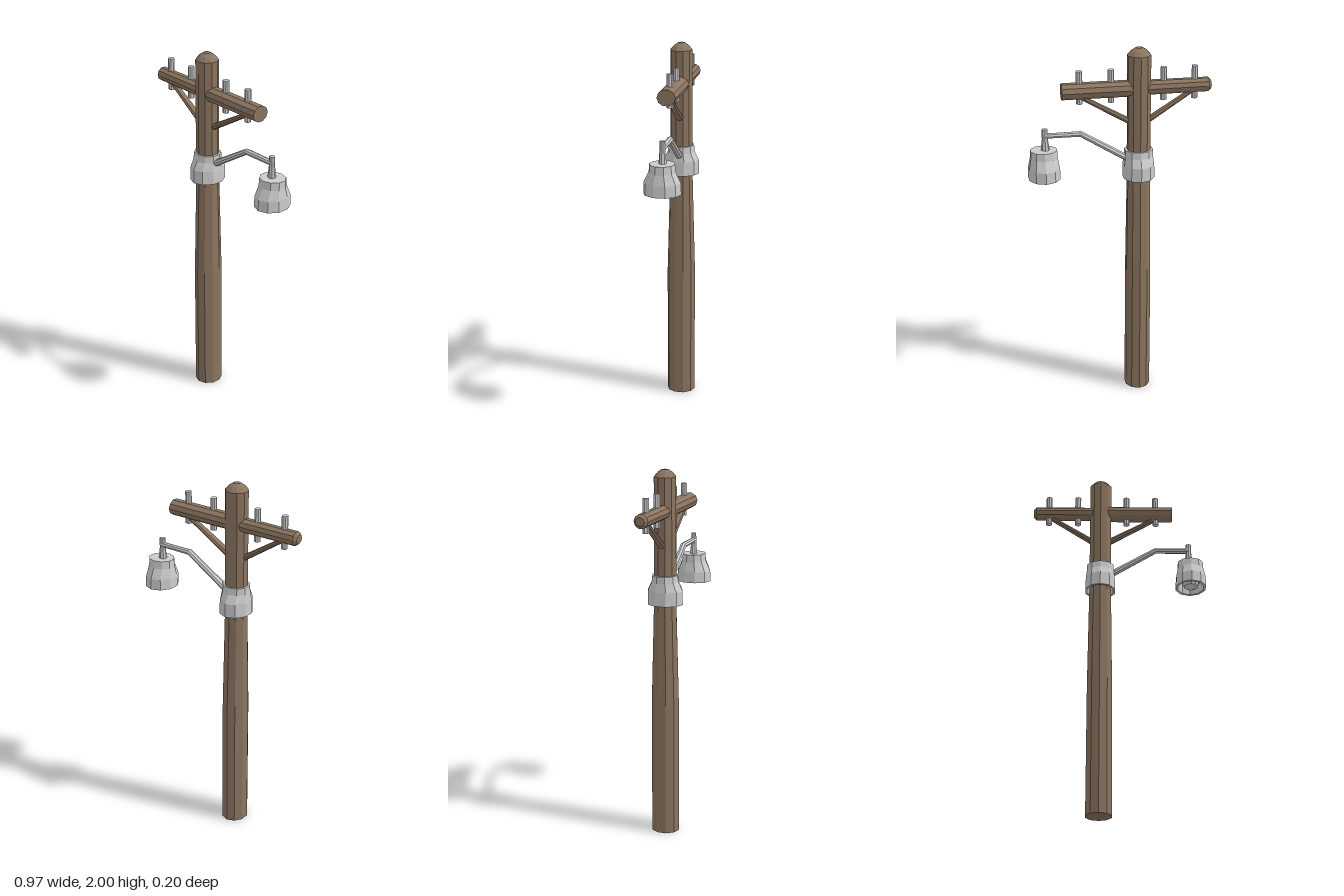
import * as THREE from 'three';

const wood = new THREE.MeshStandardMaterial({ color: 0x8b7560, flatShading: true });
const metal = new THREE.MeshStandardMaterial({ color: 0xcccccc, flatShading: true });

const POLE_X = -0.105;
const LAMP_X = 0.4;

// Closed loft around y; rings run [y, half width in x, half width in z]
function loft(name, rings, material, sides = 10) {
  const n = rings.length - 1;
  const geometry = new THREE.CylinderGeometry(1, 1, 1, sides, n);
  const p = geometry.attributes.position;
  const sx = 1 / Math.cos(Math.PI / sides / (sides % 4 ? 1 : 1e9)); // reach the full width when corners miss the x axis
  for (let i = 0; i < p.count; i++) {
    const [y, rx, rz] = rings[Math.round((0.5 - p.getY(i)) * n)];
    p.setXYZ(i, p.getX(i) * rx * sx, y, p.getZ(i) * rz);
  }
  geometry.computeVertexNormals();
  const mesh = new THREE.Mesh(geometry, material);
  mesh.name = name;
  return mesh;
}

// Tapered rod between two points in the z = 0 plane
function rod(name, [x0, y0], [x1, y1], r0, r1, material, depth = 1) {
  const dx = x1 - x0, dy = y1 - y0;
  const mesh = new THREE.Mesh(
    new THREE.CylinderGeometry(r1, r0, Math.hypot(dx, dy), 8), material);
  mesh.position.set((x0 + x1) / 2, (y0 + y1) / 2, 0);
  mesh.rotation.z = Math.atan2(dy, dx) - Math.PI / 2;
  mesh.scale.z = depth;
  mesh.name = name;
  return mesh;
}

export function createModel() {
  const group = new THREE.Group();
  group.name = 'utilityPole';

  // Pole with a blunt domed tip
  const pole = loft('pole', [
    [2.0, 0.018, 0.018], [1.985, 0.04, 0.04], [1.962, 0.06, 0.06],
    [1.29, 0.06, 0.062], [0.72, 0.067, 0.078], [0, 0.068, 0.078],
  ], wood);
  pole.position.x = POLE_X;
  group.add(pole);

  // Crossarm, thicker on the left half, with a bevelled right end
  const arm = loft('crossarm', [
    [0.302, 0.041, 0.049], [-0.05, 0.041, 0.049], [-0.16, 0.037, 0.042],
    [-0.472, 0.036, 0.038], [-0.487, 0.022, 0.024],
  ], wood);
  arm.rotation.z = -Math.PI / 2;
  arm.position.y = 1.785;
  group.add(arm);

  // Diagonal braces
  group.add(rod('rightBrace', [-0.13, 1.59], [-0.4, 1.765], 0.016, 0.012, wood, 1.4));
  group.add(rod('leftBrace', [-0.08, 1.59], [0.225, 1.765], 0.017, 0.012, wood, 1.4));

  // Insulator pins through the crossarm
  for (const x of [-0.4, -0.235, 0.042, 0.208]) {
    group.add(rod('insulator', [x, 1.715], [x, 1.89], 0.017, 0.017, metal));
  }

  // Flared collar, open underneath
  const collar = loft('collar', [
    [1.447, 0.073, 0.07], [1.41, 0.074, 0.074], [1.365, 0.08, 0.097],
    [1.29, 0.082, 0.098], [1.29, 0.072, 0.084], [1.33, 0.06, 0.066],
  ], metal);
  collar.position.x = POLE_X;
  group.add(collar);

  // Bent lamp bracket
  group.add(rod('bracketRise', [-0.06, 1.388], [0.207, 1.551], 0.018, 0.015, metal, 1.2));
  group.add(rod('bracketReach', [0.2, 1.549], [0.392, 1.549], 0.015, 0.014, metal, 1.2));

  // Lamp stem
  const stem = loft('lampStem', [
    [1.587, 0.016, 0.014], [1.53, 0.016, 0.016], [1.465, 0.024, 0.021],
  ], metal, 8);
  stem.position.x = 0.392;
  group.add(stem);

  // Hollow lamp shade
  const shade = loft('lampShade', [
    [1.472, 0.069, 0.066], [1.43, 0.071, 0.07], [1.375, 0.081, 0.096],
    [1.315, 0.083, 0.098], [1.315, 0.07, 0.082], [1.37, 0.066, 0.078],
  ], metal);
  shade.position.x = LAMP_X;
  group.add(shade);

  // Bulb inside the shade
  const bulb = loft('bulb', [
    [1.38, 0.03, 0.034], [1.345, 0.044, 0.048], [1.322, 0.036, 0.04], [1.307, 0.012, 0.014],
  ], metal);
  bulb.position.x = LAMP_X;
  group.add(bulb);

  return group;
}
